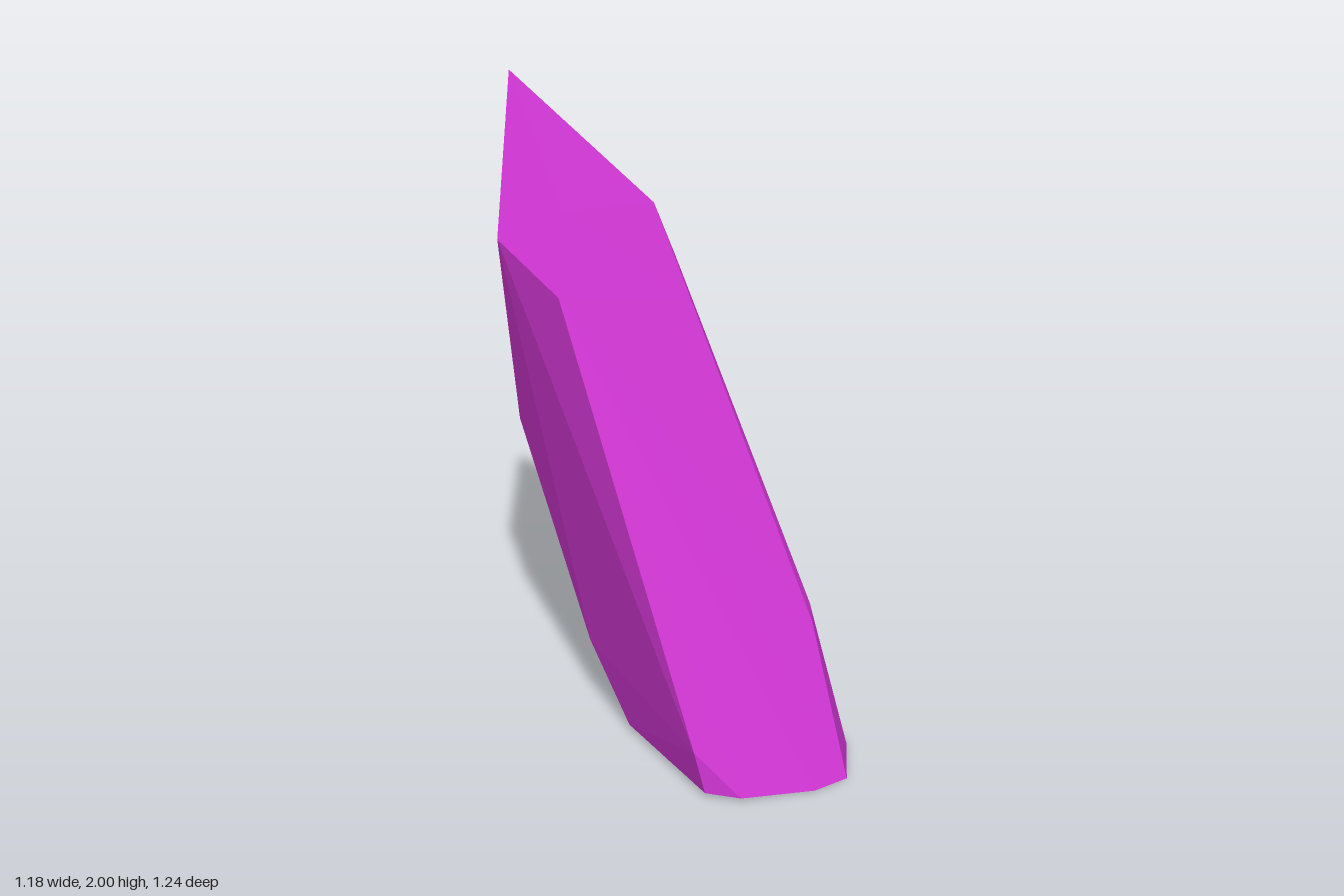
import * as THREE from 'three';
import { ConvexGeometry } from 'three/addons/geometries/ConvexGeometry.js';

// Leaning crystal shard, described by rings of corners from tip to base
const tip = [[-0.59, 2, -0.62]];

const shoulders = [
  [-0.56, 1.53, -0.15], [-0.33, 1.41, 0.10], [-0.345, 1.63, -0.12], [0.05, 1.33, -0.23],
  [-0.01, 1.44, -0.36], [-0.09, 1.59, -0.47], [-0.49, 1.36, -0.60],
];

const waist = [
  [-0.52, 0.90, -0.24], [-0.10, 0.88, -0.50], [-0.01, 0.90, -0.475],
];

const lowerBevel = [
  [-0.255, 0.24, 0.06], [0.125, 0.14, 0.59], [0.47, 0.41, 0.22], [0.46, 0.44, 0.14],
];

const base = [
  [-0.12, 0.02, 0.13], [-0.11, 0.02, 0.22], [0.16, 0.015, 0.607], [0.27, 0.01, 0.62],
  [0.49, 0, 0.54], [0.588, 0, 0.46], [0.59, 0, 0.25], [0.53, 0.002, 0.16],
  [0.36, 0.006, -0.06], [0.25, 0.01, -0.08],
];

export function createModel() {
  const group = new THREE.Group();
  group.name = 'crystal';

  const magenta = new THREE.MeshStandardMaterial({ color: 0xcc35cf, flatShading: true });
  magenta.name = 'magenta crystal';

  // Flat facets stretched over all the rings
  const corners = [...tip, ...shoulders, ...waist, ...lowerBevel, ...base]
    .map((p) => new THREE.Vector3(...p));
  const shard = new THREE.Mesh(new ConvexGeometry(corners), magenta);
  shard.name = 'crystalShard';
  group.add(shard);

  return group;
}
